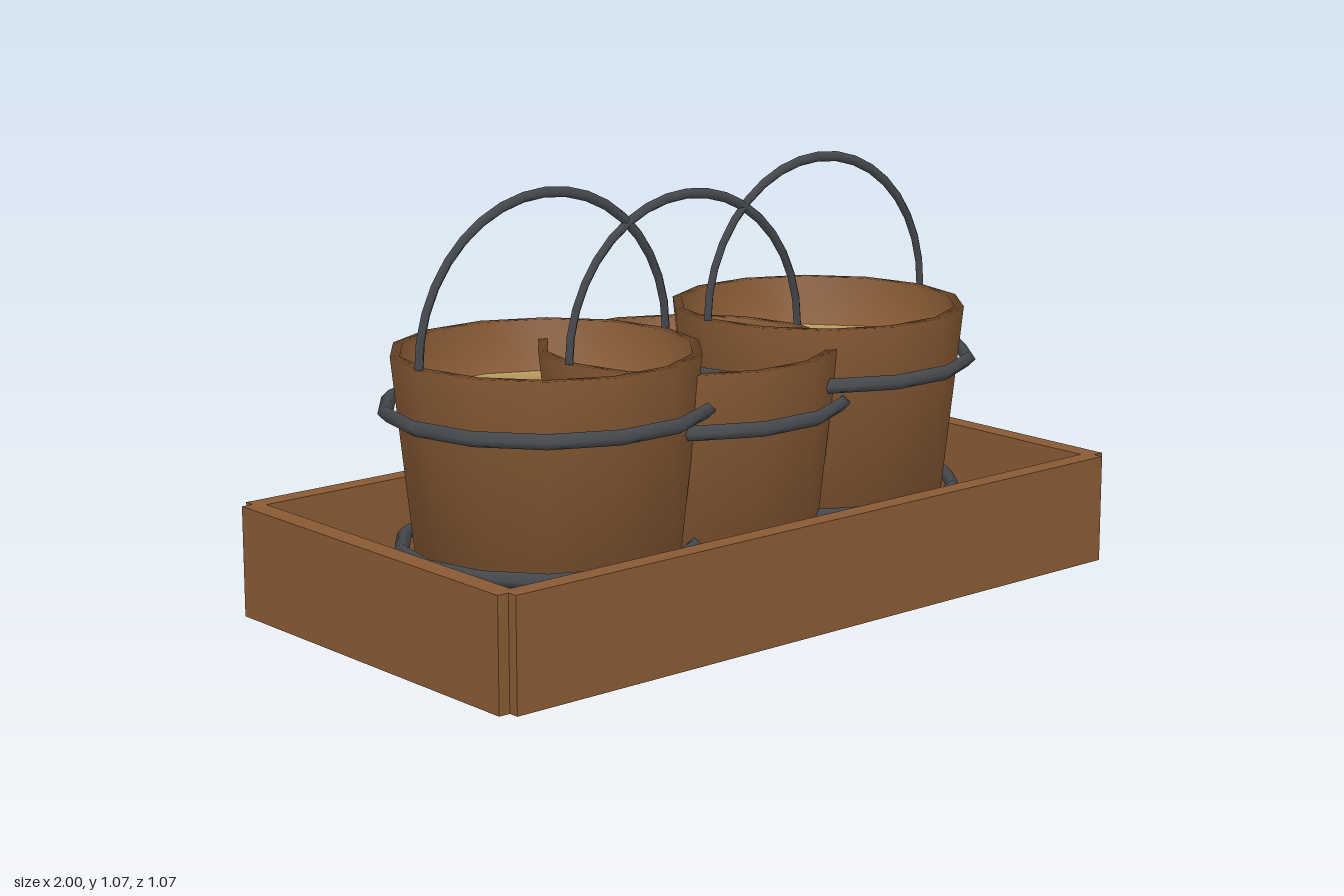
import * as THREE from 'three';

const wood = new THREE.MeshStandardMaterial({ color: 0x885a34 });
wood.name = 'brown wood';
const iron = new THREE.MeshStandardMaterial({ color: 0x484b50 });
iron.name = 'dark iron';
const grainGold = new THREE.MeshStandardMaterial({ color: 0xd9b56c });
grainGold.name = 'golden grain';

const SIDES = 14;

function add(parent, name, geometry, material, x = 0, y = 0, z = 0) {
  const mesh = new THREE.Mesh(geometry, material);
  mesh.name = name;
  mesh.position.set(x, y, z);
  parent.add(mesh);
  return mesh;
}

// Tapered pail: outside wall, rim and inside down to a floor, turned as one smooth profile
function pailGeometry() {
  const profile = [[0, 0], [0.316, 0], [0.382, 0.63], [0.358, 0.63], [0.348, 0.4], [0, 0.4]]
    .map(([r, y]) => new THREE.Vector2(r, y));
  return new THREE.LatheGeometry(profile, SIDES, Math.PI / 2);
}

// Sunken grain surface: a half sphere pressed down into a shallow hollow, softly shaded like a heap.
// Mirroring it in y turns its faces upward.
function grainGeometry() {
  const geometry = new THREE.SphereGeometry(0.353, SIDES, 6, 0, Math.PI * 2, 0, Math.PI / 2);
  const p = geometry.attributes.position;
  for (let i = 0; i < p.count; i++) p.setY(i, -0.2 * p.getY(i));
  return geometry;
}

// Iron band lying flat around the pail
function bandGeometry(radius) {
  return new THREE.TorusGeometry(radius, 0.019, 4, SIDES).rotateX(Math.PI / 2);
}

function createBucket(name) {
  const bucket = new THREE.Group();
  bucket.name = name;
  add(bucket, 'pail', pailGeometry(), wood);
  add(bucket, 'grain', grainGeometry(), grainGold, 0, 0.5, 0);
  add(bucket, 'upperBand', bandGeometry(0.396), iron, 0, 0.492, 0);
  add(bucket, 'lowerBand', bandGeometry(0.363), iron, 0, 0.15, 0);
  add(bucket, 'handle', new THREE.TorusGeometry(0.38, 0.013, 4, 18, Math.PI), iron, 0, 0.63, 0);
  return bucket;
}

// Shallow open box with boards on four sides
function createTray() {
  const tray = new THREE.Group();
  tray.name = 'tray';
  add(tray, 'floor', new THREE.BoxGeometry(1.94, 0.048, 1.02), wood, 0, 0.026, 0);
  for (const s of [1, -1]) {
    add(tray, s > 0 ? 'frontBoard' : 'backBoard',
      new THREE.BoxGeometry(1.94, 0.28, 0.052), wood, 0, 0.14, s * 0.511);
    add(tray, s > 0 ? 'leftBoard' : 'rightBoard',
      new THREE.BoxGeometry(0.055, 0.28, 1.02), wood, s * 0.9725, 0.14, 0);
  }
  return tray;
}

export function createModel() {
  const model = new THREE.Group();
  model.name = 'trayOfBuckets';
  model.add(createTray());

  // Outer buckets stand on the floor, the middle one sits a little lower
  for (const [name, x, y] of [['rightBucket', -0.45, 0.05], ['middleBucket', 0, 0], ['leftBucket', 0.45, 0.05]]) {
    const bucket = createBucket(name);
    bucket.position.set(x, y, 0);
    model.add(bucket);
  }
  return model;
}
